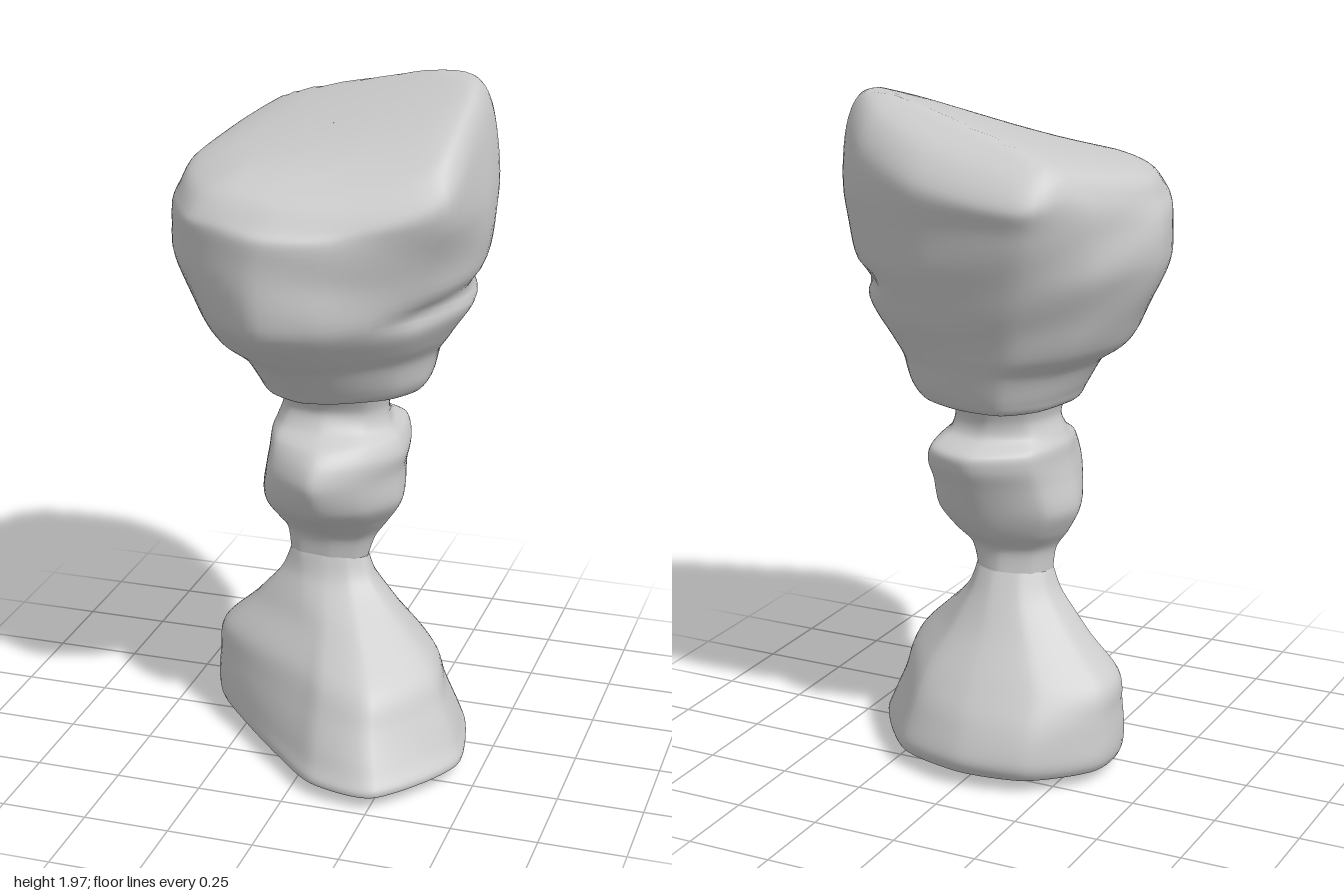
import * as THREE from 'three';

const SIDES = 72, STEPS = 6;
const material = new THREE.MeshStandardMaterial({ color: 0xcccccc, side: THREE.DoubleSide });

// Closed outline in plan, given as [x, z] corners, scaled to -1..1 on each half axis
function sampleOutline(corners) {
  const curve = new THREE.CatmullRomCurve3(
    corners.map(([x, z]) => new THREE.Vector3(x, 0, z)), true, 'catmullrom', 0.35);
  const pts = Array.from({ length: SIDES }, (_, i) => curve.getPoint(i / SIDES));
  const ext = (axis, sign) => Math.max(...pts.map((p) => sign * p[axis]));
  const xp = ext('x', 1), xn = ext('x', -1), zp = ext('z', 1), zn = ext('z', -1);
  return pts.map((p) => [p.x / (p.x > 0 ? xp : xn), p.z / (p.z > 0 ? zp : zn)]);
}

// Smooth interpolation between two ring rows, using their neighbours
function ringAt(rings, s) {
  const i = Math.min(Math.floor(s), rings.length - 2), t = s - i;
  const a = rings[i], b = rings[i + 1];
  const p = rings[Math.max(i - 1, 0)], n = rings[Math.min(i + 2, rings.length - 1)];
  return a.map((v, k) => {
    const m0 = (b[k] - p[k]) * 0.45, m1 = (n[k] - v) * 0.45, t2 = t * t, t3 = t2 * t;
    return (2 * t3 - 3 * t2 + 1) * v + (t3 - 2 * t2 + t) * m0 + (3 * t2 - 2 * t3) * b[k] + (t3 - t2) * m1;
  });
}

// Stone from rings [y, xMin, xMax, zMin, zMax, outlineBlend, tilt]
function stone(name, rings, lowOutline, highOutline, shape = () => {}) {
  const low = sampleOutline(lowOutline), high = sampleOutline(highOutline);
  const pos = [], index = [], rows = (rings.length - 1) * STEPS;
  const v = new THREE.Vector3();
  for (let r = 0; r <= rows; r++) {
    const [y, x0, x1, z0, z1, blend, tilt] = ringAt(rings, r / STEPS);
    for (let i = 0; i < SIDES; i++) {
      const u = THREE.MathUtils.lerp(low[i][0], high[i][0], blend);
      const w = THREE.MathUtils.lerp(low[i][1], high[i][1], blend);
      v.set(u * (u > 0 ? x1 : -x0), y, w * (w > 0 ? z1 : -z0));
      // faint weathering
      const k = 1 + 0.008 * Math.sin(9 * v.x + 21 * y) * Math.sin(11 * v.z - 13 * y + 1);
      v.x *= k;
      v.z *= k;
      shape(v, tilt);
      pos.push(v.x, v.y, v.z);
      if (r < rows) {
        const a = r * SIDES + i, b = r * SIDES + (i + 1) % SIDES;
        index.push(a, a + SIDES, b, b, a + SIDES, b + SIDES);
      }
    }
  }
  const geo = new THREE.BufferGeometry();
  geo.setAttribute('position', new THREE.Float32BufferAttribute(pos, 3));
  geo.setIndex(index);
  geo.computeVertexNormals();
  const mesh = new THREE.Mesh(geo, material);
  mesh.name = name;
  return mesh;
}

// Sloping top face of the big stone: rounded peak, bevelled back, dropping front corner
function topHeight(x, z) {
  const front = Math.max(0, z), back = Math.max(0, -z - 0.32 + 0.2 * x);
  const h = 1.858 + 0.22 * x - 0.2 * z - 0.2 * x * z
    - 1.3 * Math.max(0, x + 0.2) * front * front - 0.7 * back;
  return h - 0.5 * Math.max(0, h - 1.97);
}

function shapeTop(v, tilt) {
  v.y += tilt * (topHeight(v.x, v.z) - 1.8);
  // worn groove and ledge across the +x face
  const d = (v.y - 1.42 + 0.12 * v.z) / 0.035;
  if (v.x > 0.2) v.x -= 0.03 * Math.exp(-d * d) * Math.min(1, (v.x - 0.2) / 0.12);
}

export function createModel() {
  const group = new THREE.Group();
  group.name = 'balancedStones';

  // Wide wedge-shaped foot
  const footOutline = [[0.45, 0.22], [0.27, 0.48], [0.08, 0.46], [-0.05, 0.35], [-0.36, 0.02],
    [-0.37, -0.18], [-0.21, -0.34], [0, -0.37], [0.22, -0.3], [0.4, -0.05]];
  const neckOutline = Array.from({ length: 10 }, (_, i) => {
    const a = 0.45 + i * Math.PI / 5;
    return [Math.cos(a), Math.sin(a)];
  });
  group.add(stone('baseStone', [
    [0.005, -0.005, 0.005, -0.005, 0.005, 0, 0],
    [0.015, -0.18, 0.22, -0.18, 0.24, 0, 0],
    [0.035, -0.34, 0.42, -0.33, 0.45, 0, 0],
    [0.055, -0.37, 0.45, -0.365, 0.48, 0, 0],
    [0.1, -0.378, 0.43, -0.375, 0.45, 0, 0],
    [0.2, -0.375, 0.385, -0.34, 0.39, 0, 0],
    [0.29, -0.36, 0.35, -0.28, 0.325, 0, 0],
    [0.4, -0.25, 0.24, -0.2, 0.19, 0.15, 0],
    [0.5, -0.165, 0.14, -0.14, 0.08, 0.6, 0],
    [0.575, -0.13, 0.105, -0.1, 0.045, 1, 0],
  ], footOutline, neckOutline));

  // Small knobbly stone with the narrow necks above and below
  const round = [[1, 0], [0.71, 0.71], [0, 1], [-0.71, 0.71], [-1, 0], [-0.71, -0.71], [0, -1], [0.71, -0.71]];
  const knobOutline = [[1, 0.1], [0.62, 0.68], [0.05, 1], [-0.72, 0.65], [-1, 0], [-0.75, -0.64], [0.1, -1], [0.8, -0.76]];
  group.add(stone('middleStone', [
    [0.57, -0.13, 0.105, -0.1, 0.045, 0, 0],
    [0.64, -0.14, 0.13, -0.1, 0.06, 0, 0],
    [0.7, -0.18, 0.17, -0.15, 0.13, 0.5, 0],
    [0.77, -0.21, 0.21, -0.19, 0.22, 1, 0],
    [0.86, -0.195, 0.21, -0.23, 0.265, 1, 0],
    [0.92, -0.185, 0.22, -0.26, 0.255, 1, 0],
    [0.965, -0.18, 0.205, -0.26, 0.215, 1, 0],
    [1.0, -0.165, 0.175, -0.19, 0.14, 0.5, 0],
    [1.05, -0.15, 0.165, -0.18, 0.11, 0, 0],
    [1.12, -0.17, 0.18, -0.21, 0.15, 0, 0],
  ], round, knobOutline));

  // Large boulder: undercut corners below, blocky with a slanted top above
  const undercut = [[0.43, -0.2], [0.45, 0], [0.34, 0.22], [0.1, 0.41], [-0.1, 0.455], [-0.3, 0.34],
    [-0.42, 0.15], [-0.455, -0.05], [-0.37, -0.31], [-0.19, -0.46], [0.08, -0.46], [0.3, -0.37]];
  const blocky = [[0.42, -0.23], [0.45, 0], [0.42, 0.28], [0.13, 0.41], [-0.08, 0.455], [-0.3, 0.39],
    [-0.42, 0.18], [-0.455, 0], [-0.39, -0.3], [-0.27, -0.47], [0.07, -0.465], [0.3, -0.375]];
  group.add(stone('topStone', [
    [1.085, -0.13, 0.15, -0.17, 0.1, 0, 0],
    [1.1, -0.2, 0.24, -0.26, 0.18, 0, 0],
    [1.14, -0.225, 0.28, -0.29, 0.22, 0, 0],
    [1.22, -0.27, 0.3, -0.315, 0.29, 0, 0],
    [1.28, -0.35, 0.34, -0.34, 0.36, 0, 0],
    [1.38, -0.4, 0.4, -0.38, 0.45, 0, 0],
    [1.52, -0.46, 0.43, -0.43, 0.455, 0.2, 0],
    [1.65, -0.455, 0.45, -0.465, 0.455, 0.6, 0.2],
    [1.73, -0.435, 0.425, -0.485, 0.43, 1, 0.8],
    [1.785, -0.4, 0.39, -0.43, 0.38, 1, 1],
    [1.805, -0.3, 0.33, -0.31, 0.29, 1, 1],
    [1.81, -0.15, 0.16, -0.15, 0.15, 1, 1],
    [1.81, -0.001, 0.001, -0.001, 0.001, 1, 1],
  ], undercut, blocky, shapeTop));

  return group;
}
